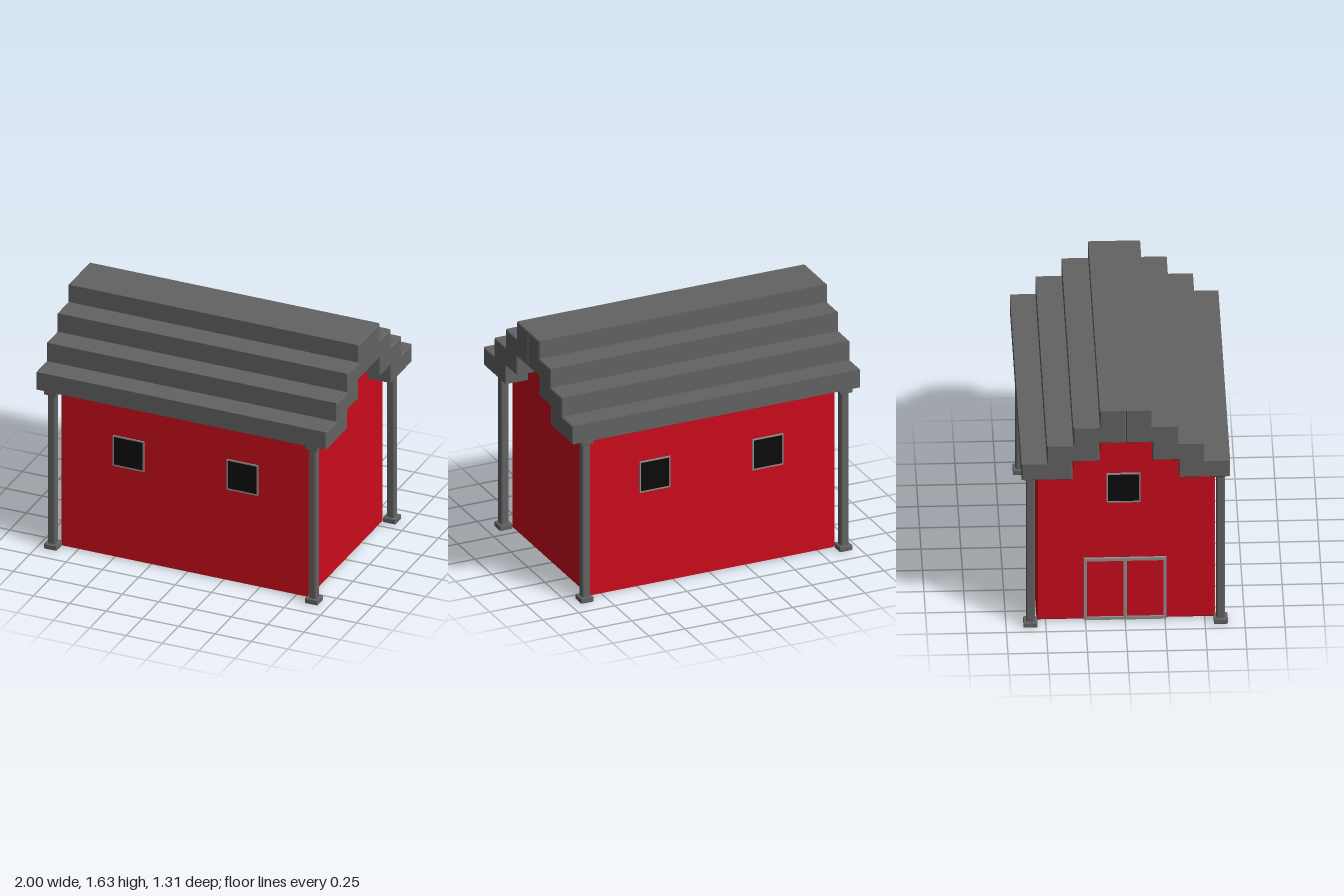
import * as THREE from 'three';
import { RoundedBoxGeometry } from 'three/addons/geometries/RoundedBoxGeometry.js';

const paint = (color) => new THREE.MeshStandardMaterial({ color });

export function createModel() {
  const model = new THREE.Group();
  const red = paint(0xcc0c1c), slate = paint(0x636363), black = paint(0x0c0c0c), trim = paint(0x909090);
  const wallX = -0.012; // the walls sit slightly off the roof centre

  function add(parent, name, geometry, material, x = 0, y = 0, z = 0) {
    const mesh = new THREE.Mesh(geometry, material);
    mesh.name = name;
    mesh.position.set(x, y, z);
    parent.add(mesh);
    return mesh;
  }
  const roundBox = (w, h, d, r = 0.006) => new RoundedBoxGeometry(w, h, d, 1, r);

  // Extrudes a [z, y] outline along x, with small bevelled edges
  function extrudeX(points, length, bevel) {
    const shape = new THREE.Shape(points.map(([z, y]) => new THREE.Vector2(-z, y)));
    const geometry = new THREE.ExtrudeGeometry(shape, {
      depth: length - 2 * bevel, bevelEnabled: true, bevelThickness: bevel,
      bevelSize: bevel, bevelOffset: -bevel, bevelSegments: 1,
    });
    geometry.translate(0, 0, bevel - length / 2);
    return geometry.rotateY(Math.PI / 2);
  }

  // Walls with stepped gables
  const gable = [[0.56, 0.005], [0.56, 1.13], [0.335, 1.13], [0.335, 1.257], [0.167, 1.257], [0.167, 1.392]];
  const outline = [...gable, ...gable.map(([z, y]) => [-z, y]).reverse()];
  add(model, 'walls', extrudeX(outline, 1.715, 0.01), red, wallX, 0, 0.004);

  // Two stepped roof halves meeting at the ridge
  const half = [
    [0, 1.39], [0.167, 1.39], [0.167, 1.257], [0.335, 1.257], [0.335, 1.125], [0.655, 1.125],
    [0.655, 1.25], [0.495, 1.25], [0.495, 1.38], [0.33, 1.38], [0.33, 1.51], [0.163, 1.51],
    [0.163, 1.633], [0, 1.633],
  ];
  add(model, 'roofFront', extrudeX(half, 2, 0.006), slate);
  add(model, 'roofBack', extrudeX(half.map(([z, y]) => [-z, y]).reverse(), 2, 0.006), slate);

  // Corner posts with base and cap blocks
  for (const x of [-0.908, 0.888]) {
    for (const z of [-0.597, 0.599]) {
      const post = new THREE.Group();
      post.name = 'cornerPost';
      post.position.set(x, 0, z);
      add(post, 'postShaft', roundBox(0.056, 1.08, 0.056, 0.012), slate, 0, 0.56, 0);
      add(post, 'postBase', roundBox(0.088, 0.036, 0.088), slate, 0, 0.018, 0);
      add(post, 'postCap', roundBox(0.088, 0.034, 0.088), slate, 0, 1.109, 0);
      model.add(post);
    }
  }

  // Rectangular frame facing +z, made from four bars
  function addFrame(parent, name, w, h, bar, depth) {
    for (const s of [-1, 1]) {
      add(parent, name, new THREE.BoxGeometry(bar, h, depth), trim, s * (w - bar) / 2, 0, depth / 2);
      add(parent, name, new THREE.BoxGeometry(w - 2 * bar, bar, depth), trim, 0, s * (h - bar) / 2, depth / 2);
    }
  }

  function addWindow(x, y, z, turn) {
    const window = new THREE.Group();
    window.name = 'window';
    window.position.set(x, y, z);
    window.rotation.y = turn;
    add(window, 'windowPane', new THREE.BoxGeometry(0.2, 0.2, 0.01), black, 0, 0, 0.001);
    addFrame(window, 'windowFrame', 0.215, 0.215, 0.009, 0.009);
    model.add(window);
  }

  // Two windows on each long wall and one in the left gable
  for (const x of [-0.402, 0.382]) {
    addWindow(x, 0.757, 0.563, 0);
    addWindow(x, 0.757, -0.555, Math.PI);
  }
  const endX = wallX - 0.8575;
  addWindow(endX, 0.98, -0.01, -Math.PI / 2);

  // Double door in the end wall
  const door = new THREE.Group();
  door.name = 'door';
  door.position.set(endX, 0.235, 0);
  door.rotation.y = -Math.PI / 2;
  add(door, 'doorPanel', new THREE.BoxGeometry(0.5, 0.44, 0.008), red);
  addFrame(door, 'doorFrame', 0.52, 0.455, 0.02, 0.016);
  add(door, 'doorMiddleBar', new THREE.BoxGeometry(0.02, 0.42, 0.016), trim, 0, 0, 0.008);
  model.add(door);

  return model;
}
